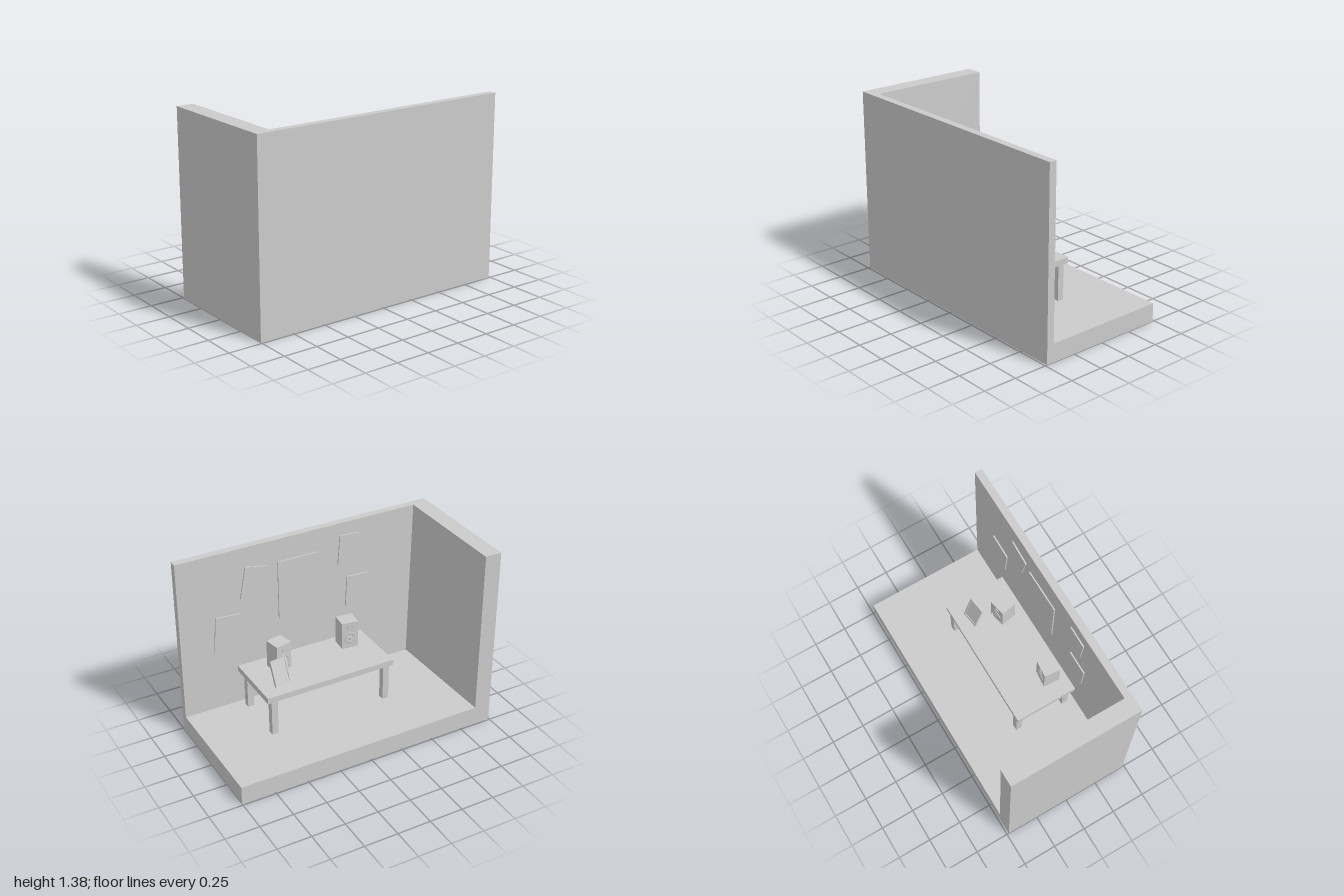
import * as THREE from 'three';

const material = new THREE.MeshStandardMaterial({ color: 0xcccccc });

function addMesh(parent, name, geometry, x = 0, y = 0, z = 0) {
  const mesh = new THREE.Mesh(geometry, material);
  mesh.name = name;
  mesh.position.set(x, y, z);
  parent.add(mesh);
  return mesh;
}

// Box given by its min and max corners
function addBox(parent, name, [x0, y0, z0], [x1, y1, z1]) {
  const geometry = new THREE.BoxGeometry(x1 - x0, y1 - y0, z1 - z0);
  return addMesh(parent, name, geometry, (x0 + x1) / 2, (y0 + y1) / 2, (z0 + z1) / 2);
}

function addGroup(parent, name, x, y, z) {
  const group = new THREE.Group();
  group.name = name;
  group.position.set(x, y, z);
  parent.add(group);
  return group;
}

// Rectangle outline with small rounded corners, centred on the origin
function roundedRect(Type, w, h, r) {
  const path = new Type();
  const x = w / 2 - r, y = h / 2 - r;
  path.absarc(x, y, r, 0, Math.PI / 2);
  path.absarc(-x, y, r, Math.PI / 2, Math.PI);
  path.absarc(-x, -y, r, Math.PI, Math.PI * 1.5);
  path.absarc(x, -y, r, Math.PI * 1.5, Math.PI * 2);
  path.closePath();
  return path;
}

// Room: floor, long wall and short wall
function addRoom(parent) {
  addBox(parent, 'floor', [-1, 0, -0.485], [1, 0.137, 0.485]);
  addBox(parent, 'longWall', [-1, 0.137, 0.43], [1, 1.375, 0.485]);
  const side = addBox(parent, 'shortWall', [-1, 0.137, -0.485], [-0.875, 1.375, 0.43]);
  // The inner lower corner sits slightly further into the room
  side.geometry = side.geometry.toNonIndexed();
  const p = side.geometry.attributes.position;
  for (let i = 0; i < p.count; i++) {
    if (p.getX(i) > 0 && p.getY(i) < 0 && p.getZ(i) > 0) p.setX(i, p.getX(i) + 0.022);
  }
  side.geometry.computeVertexNormals();
}

// Desk with four square legs
function addDesk(parent) {
  const desk = addGroup(parent, 'desk', 0, 0, 0);
  addBox(desk, 'deskTop', [-0.425, 0.415, -0.07], [0.585, 0.46, 0.405]);
  for (const x of [-0.395, 0.505]) {
    for (const z of [-0.06, 0.33]) {
      addBox(desk, 'deskLeg', [x, 0.137, z], [x + 0.048, 0.415, z + 0.048]);
    }
  }
}

// Round driver: raised rim, sunken cone and domed centre, facing -z
function addDriver(parent, name, r, y, z) {
  const profile = [
    [r, 0], [r, 0.006], [r * 0.82, 0.006], [r * 0.72, 0.003], [r * 0.45, 0.001],
    [r * 0.35, 0.004], [r * 0.18, 0.006], [0, 0.0065],
  ].map(([a, b]) => new THREE.Vector2(a, b));
  const driver = addMesh(parent, name, new THREE.LatheGeometry(profile, 32), 0, y, z);
  driver.rotation.x = -Math.PI / 2;
}

function addSpeaker(parent, x, z, turn) {
  const speaker = addGroup(parent, 'speaker', x, 0.46, z);
  speaker.rotation.y = turn;
  addBox(speaker, 'speakerCabinet', [-0.063, 0, -0.06], [0.063, 0.21, 0.06]);
  addDriver(speaker, 'woofer', 0.042, 0.085, -0.06);
  addDriver(speaker, 'tweeter', 0.02, 0.173, -0.06);
  for (const side of [-1, 1]) {
    const knob = addMesh(speaker, 'knob', new THREE.CylinderGeometry(0.008, 0.008, 0.008, 16),
      side * 0.046, 0.023, -0.062);
    knob.rotation.x = Math.PI / 2;
  }
}

// Leaning picture frame with a strut behind it
function addPictureFrame(parent) {
  const stand = addGroup(parent, 'pictureFrame', 0.413, 0.463, 0.03);
  stand.rotation.y = 0.13;
  const panel = addGroup(stand, 'framePanel', 0, 0, 0);
  panel.rotation.x = 0.36;
  const border = roundedRect(THREE.Shape, 0.13, 0.19, 0.003);
  border.holes.push(roundedRect(THREE.Path, 0.104, 0.162, 0.003));
  const rim = new THREE.ExtrudeGeometry(border, { depth: 0.02, bevelEnabled: false, curveSegments: 3 });
  addMesh(panel, 'frameBorder', rim, 0, 0.095, -0.01);
  addBox(panel, 'framePicture', [-0.054, 0.012, -0.004], [0.054, 0.178, 0.008]);
  const strut = addBox(stand, 'frameStrut', [-0.02, 0, 0.056], [0.02, 0.145, 0.062]);
  strut.rotation.x = -0.08;
}

// Thin panel hung on the long wall: centre, size, tilt
function addPoster(parent, x, y, z, w, h, tilt) {
  const geometry = new THREE.ExtrudeGeometry(roundedRect(THREE.Shape, w, h, 0.008),
    { depth: 0.01, bevelEnabled: false, curveSegments: 3 });
  addMesh(parent, 'poster', geometry, x, y, z).rotation.z = tilt;
}

export function createModel() {
  const model = new THREE.Group();
  model.name = 'deskCorner';
  addRoom(model);
  addDesk(model);
  addSpeaker(model, 0.329, 0.257, 0.19);
  addSpeaker(model, -0.242, 0.287, -0.1);
  addPictureFrame(model);

  const posters = [
    [0.083, 0.982, 0.403, 0.325, 0.455, 0],
    [0.422, 1.09, 0.417, 0.183, 0.247, 0.19],
    [0.647, 0.752, 0.41, 0.194, 0.268, 0.085],
    [-0.33, 1.16, 0.413, 0.164, 0.24, 0.075],
    [-0.392, 0.818, 0.4, 0.18, 0.25, 0.05],
  ];
  for (const poster of posters) addPoster(model, ...poster);
  return model;
}
